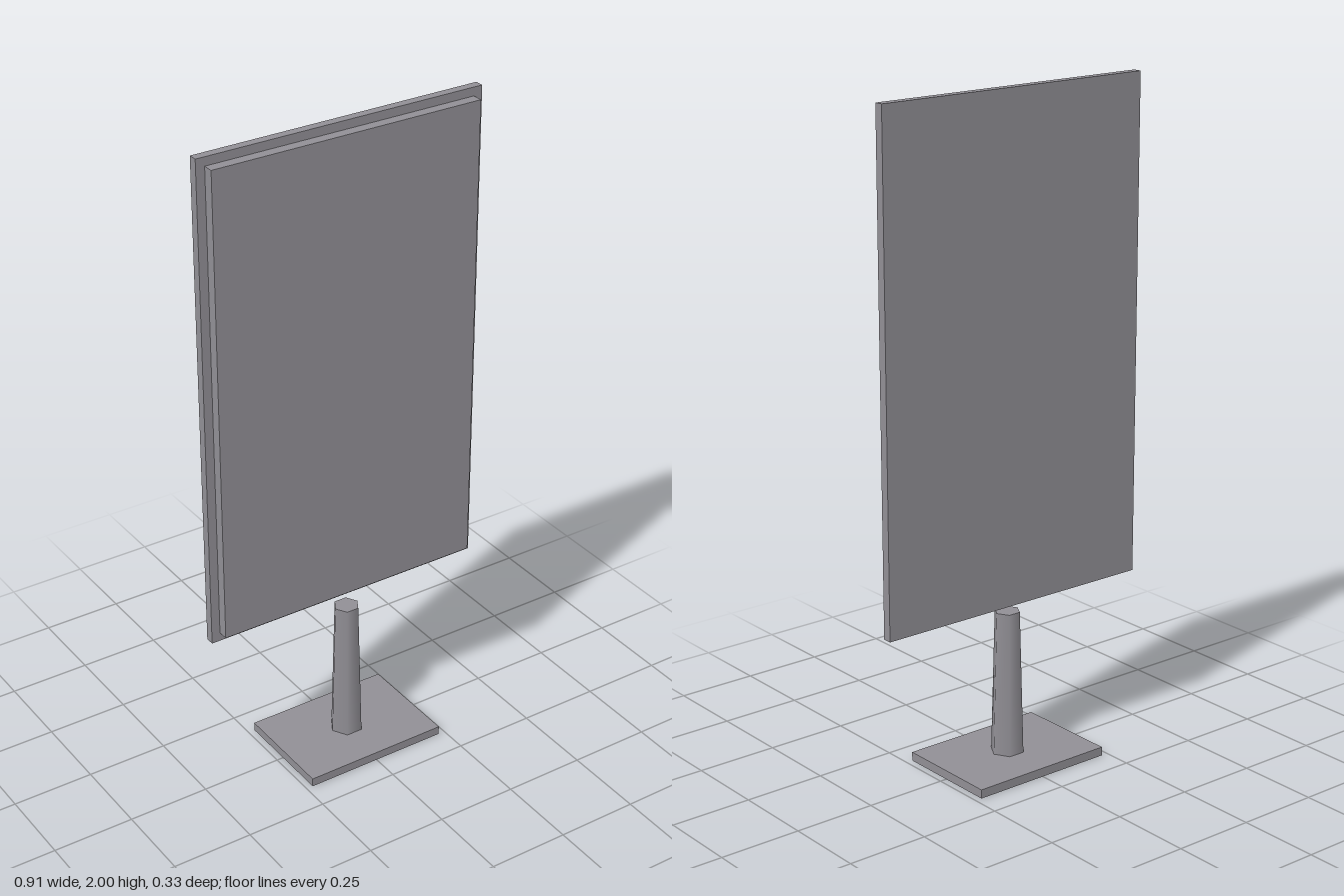
import * as THREE from 'three';

export function createModel() {
  const model = new THREE.Group();
  const material = new THREE.MeshStandardMaterial({ color: 0x918f95 });

  const add = (name, geometry, x, y, z) => {
    const mesh = new THREE.Mesh(geometry, material);
    mesh.name = name;
    mesh.position.set(x, y, z);
    model.add(mesh);
  };

  // Box given by its half width and its y and z limits
  const addSlab = (name, halfX, y0, y1, z0, z1) =>
    add(name, new THREE.BoxGeometry(2 * halfX, y1 - y0, z1 - z0), 0, (y0 + y1) / 2, (z0 + z1) / 2);

  // Foot plate
  addSlab('base', 0.229, 0, 0.027, -0.164, 0.164);

  // Tapered six-sided post with smooth sides, corners pointing to the left and right
  const postBottom = 0.027, postTop = 0.469;
  add('post',
    new THREE.CylinderGeometry(0.039, 0.051, postTop - postBottom, 6, 1, false, Math.PI / 6),
    0, (postBottom + postTop) / 2, 0);

  // Large panel with a smaller raised panel on its front
  addSlab('backPanel', 0.453, 0.499, 2, -0.04, -0.013);
  addSlab('frontPanel', 0.426, 0.526, 1.974, -0.013, 0.019);

  return model;
}
